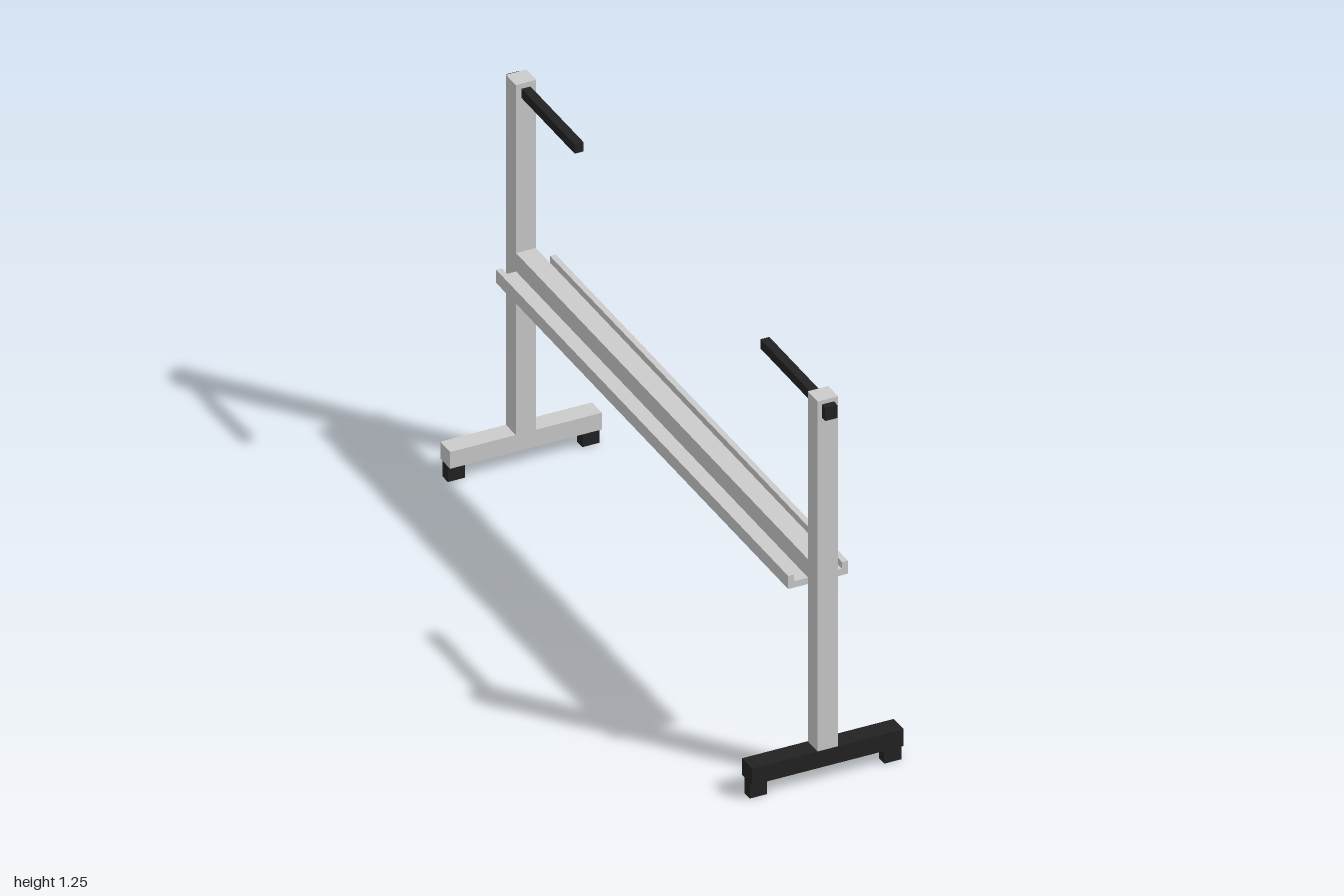
import * as THREE from 'three';

const grey = new THREE.MeshStandardMaterial({ color: 0xcccccc });
const black = new THREE.MeshStandardMaterial({ color: 0x222222 });

// Box given by its [min, max] range on each axis
function box(name, [x0, x1], [y0, y1], [z0, z1], material) {
  const mesh = new THREE.Mesh(new THREE.BoxGeometry(x1 - x0, y1 - y0, z1 - z0), material);
  mesh.name = name;
  mesh.position.set((x0 + x1) / 2, (y0 + y1) / 2, (z0 + z1) / 2);
  return mesh;
}

// Upright with foot, pads and handle, modelled at the +z end
function endFrame(name, footMaterial) {
  const frame = new THREE.Group();
  frame.name = name;
  const depth = [0.917, 0.979];
  frame.add(
    box('post', [-0.032, 0.032], [0.106, 1.253], depth, grey),
    box('foot', [-0.237, 0.237], [0.051, 0.106], depth, footMaterial),
    box('handleBar', [-0.014, 0.014], [1.206, 1.236], [0.583, 0.917], black),
    box('handleCap', [-0.019, 0.019], [1.197, 1.24], [0.979, 1], black)
  );
  for (const s of [-1, 1]) {
    const pad = box('footPad', [-0.027, 0.027], [0, 0.051], [0.931, 0.965], black);
    pad.position.x = s * 0.21;
    frame.add(pad);
  }
  return frame;
}

// Cross beam with a lipped tray on both sides, extruded along z
function crossBeam() {
  const half = [[0.093, 0.621], [0.093, 0.664], [0.075, 0.664], [0.075, 0.642], [0.031, 0.642], [0.031, 0.702]];
  const mirrored = half.map(([x, y]) => [-x, y]).reverse();
  const shape = new THREE.Shape([...half, ...mirrored].map(([x, y]) => new THREE.Vector2(x, y)));
  const geometry = new THREE.ExtrudeGeometry(shape, { depth: 1.834, bevelEnabled: false });
  geometry.translate(0, 0, -0.917);
  const beam = new THREE.Mesh(geometry, grey);
  beam.name = 'crossBeamWithTrays';
  return beam;
}

export function createModel() {
  const model = new THREE.Group();
  model.name = 'rackStand';
  const back = endFrame('backFrame', grey);
  back.rotation.y = Math.PI;
  model.add(endFrame('frontFrame', black), back, crossBeam());
  return model;
}
